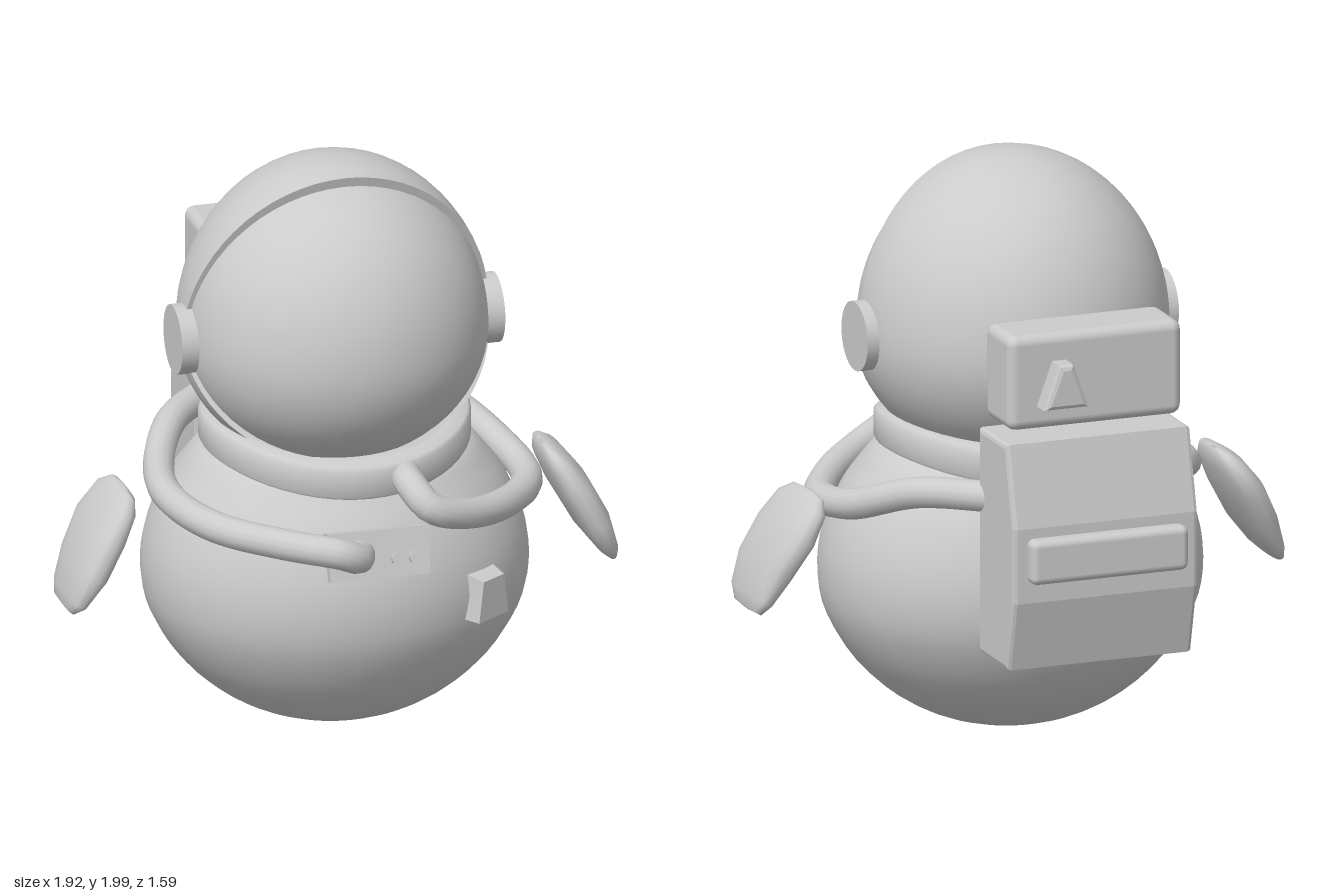
import * as THREE from 'three';
import { mergeVertices, toCreasedNormals } from 'three/addons/utils/BufferGeometryUtils.js';
import { RoundedBoxGeometry } from 'three/addons/geometries/RoundedBoxGeometry.js';

const mat = new THREE.MeshStandardMaterial({ color: 0xcccccc, roughness: 0.7 });
const thin = mat.clone();
thin.side = THREE.DoubleSide;
const CZ = 0.12; // depth of the body axis
const rad = THREE.MathUtils.degToRad;
const v3 = (a) => new THREE.Vector3(...a);

// Smooth surface from a rule f(u, v) -> [x, y, z]
function surface(f, nu, nv) {
  const geo = new THREE.PlaneGeometry(1, 1, nu, nv);
  const pos = geo.attributes.position, uv = geo.attributes.uv;
  for (let i = 0; i < pos.count; i++) pos.setXYZ(i, ...f(uv.getX(i), uv.getY(i)));
  geo.deleteAttribute('uv');
  geo.deleteAttribute('normal');
  const merged = mergeVertices(geo, 1e-5);
  merged.computeVertexNormals();
  return merged;
}

// Egg-like head surface with poles at the ears; phi runs from the top to the front
function headPoint(theta, phi, rx, up, down, rz) {
  const y = Math.sin(theta) * Math.cos(phi);
  return [rx * Math.cos(theta), 1.4 + y * (y > 0 ? up : down), CZ + rz * Math.sin(theta) * Math.sin(phi)];
}

// Extruded outline with a small bevel, centred on its depth
function slab(points, depth, bevel) {
  const shape = new THREE.Shape(points.map(([x, y]) => new THREE.Vector2(x, y)));
  const geo = new THREE.ExtrudeGeometry(shape, {
    depth: depth - 2 * bevel, bevelEnabled: true, bevelSize: bevel, bevelThickness: bevel,
    bevelOffset: -bevel, bevelSegments: 2,
  });
  return geo.translate(0, 0, -depth / 2 + bevel);
}

export function createModel() {
  const model = new THREE.Group();
  const add = (name, geo, x = 0, y = 0, z = 0, m = mat) => {
    const mesh = new THREE.Mesh(geo, m);
    mesh.name = name;
    mesh.position.set(x, y, z);
    model.add(mesh);
    return mesh;
  };

  // Round body, a little shallower than wide
  const bodyCurve = new THREE.SplineCurve([
    [0, 0.005], [0.2, 0.03], [0.38, 0.11], [0.53, 0.24], [0.63, 0.4], [0.66, 0.54], [0.645, 0.68],
    [0.59, 0.82], [0.52, 0.92], [0.45, 0.99], [0.3, 1.03], [0, 1.04],
  ].map(([r, y]) => new THREE.Vector2(r, y)));
  const profile = bodyCurve.getPoints(36).map((p) => p.set(Math.max(p.x, 0), p.y));
  add('body', new THREE.LatheGeometry(profile, 48).scale(1, 1, 0.895), 0, 0, CZ);

  // Neck ring that dips at the front and back
  let collar = new THREE.LatheGeometry([
    [0.4, -0.11], [0.455, -0.11], [0.46, -0.1], [0.46, -0.01], [0.45, 0], [0.4, 0], [0.4, -0.11],
  ].map(([r, y]) => new THREE.Vector2(r, y)), 48);
  const cp = collar.attributes.position;
  for (let i = 0; i < cp.count; i++) cp.setY(i, cp.getY(i) + 1.11 - 0.065 * (cp.getZ(i) / 0.46) ** 2);
  add('collar', toCreasedNormals(collar, 0.8), 0, 0, CZ, thin);

  // Visor ball, helmet shell behind it and the step between them
  add('visor', surface((u, v) => headPoint(Math.PI * v, 2 * Math.PI * u, 0.52, 0.565, 0.455, 0.51), 48, 32),
    0, 0, 0, thin);
  const top = rad(375), bottom = rad(150);
  const shell = [0.535, 0.6, 0.475, 0.55];
  add('helmetShell', surface((u, v) => headPoint(Math.PI * v, bottom + (top - bottom) * u, ...shell), 36, 32),
    0, 0, 0, thin);
  for (const edge of [top, bottom]) {
    add('helmetRim', surface((u, v) => headPoint(Math.PI * v, edge,
      ...shell.map((r) => r * (1 - 0.09 * u))), 1, 32), 0, 0, 0, thin);
  }

  for (const side of [1, -1]) {
    // Ear discs
    const disc = new THREE.CylinderGeometry(0.12, 0.12, 0.065, 32).rotateZ(Math.PI / 2);
    add(side > 0 ? 'leftEarDisc' : 'rightEarDisc', disc, side * 0.532, 1.4, CZ);

    // Flat flipper arms: x, y, half thickness, centre z, half width
    const rows = [
      [0.73, 0.885, 0.001, 0.1, 0.02], [0.735, 0.878, 0.022, 0.11, 0.12], [0.76, 0.84, 0.045, 0.11, 0.175],
      [0.815, 0.75, 0.06, 0.115, 0.2], [0.88, 0.63, 0.058, 0.14, 0.185], [0.93, 0.53, 0.035, 0.14, 0.155],
      [0.948, 0.49, 0.016, 0.13, 0.11], [0.95, 0.485, 0.001, 0.13, 0.02],
    ];
    const power = (c) => Math.sign(c) * Math.abs(c) ** 0.75;
    const arm = surface((u, v) => {
      const [x, y, t, z, w] = rows[Math.round(v * (rows.length - 1))];
      const a = 2 * Math.PI * u, d = t * power(Math.cos(a));
      return [side * (x + 0.87 * d), y + 0.49 * d, z + w * power(Math.sin(a))];
    }, 16, rows.length - 1);
    add(side > 0 ? 'leftArm' : 'rightArm', arm, 0, 0, 0, thin);
  }

  // Backpack: lower pack drawn from the side, upper box and details
  const pack = slab([
    [0.43, 0.415], [0.69, 0.415], [0.75, 0.66], [0.75, 0.92], [0.68, 1.2], [0.43, 1.2],
  ], 0.67, 0.015).rotateY(Math.PI / 2);
  add('backpack', pack);
  add('backpackTopBox', new RoundedBoxGeometry(0.63, 0.33, 0.225, 3, 0.035), 0, 1.402, -0.548);
  add('backpackStrip', new RoundedBoxGeometry(0.57, 0.155, 0.08, 3, 0.025), 0, 0.808, -0.76);
  add('triangleKnob', slab([[-0.08, -0.078], [0.08, -0.078], [0.025, 0.075], [-0.025, 0.075]], 0.1, 0.018),
    0.135, 1.398, -0.69);

  // Chest panel with two buttons
  const panel = new THREE.Group();
  panel.name = 'chestPanel';
  panel.position.set(0, 0.77, 0.655);
  panel.rotation.x = -0.26;
  panel.add(new THREE.Mesh(new THREE.BoxGeometry(0.35, 0.165, 0.06), mat));
  panel.children[0].name = 'panelBox';
  for (const x of [0.06, 0.122]) {
    const button = new THREE.Mesh(new THREE.CylinderGeometry(0.02, 0.02, 0.03, 16).rotateX(Math.PI / 2), mat);
    button.name = 'panelButton';
    button.position.set(x, -0.02, 0.035);
    panel.add(button);
  }
  model.add(panel);

  // Tapered pouch on the belly
  const pouch = new THREE.BoxGeometry(0.16, 0.175, 0.12);
  const pp = pouch.attributes.position;
  for (let i = 0; i < pp.count; i++) {
    if (pp.getZ(i) > 0) pp.setX(i, pp.getX(i) * (pp.getY(i) > 0 ? 0.65 : 0.95));
    if (pp.getZ(i) > 0 && pp.getY(i) > 0) pp.setY(i, 0.055);
  }
  pouch.computeVertexNormals();
  add('pouch', pouch, 0.38, 0.575, 0.59).rotation.y = 0.6;

  // Hoses from the chest round to the backpack
  const hoses = {
    rightHose: [[-0.06, 0.775, 0.66], [-0.085, 0.785, 0.72], [-0.15, 0.815, 0.74], [-0.33, 0.83, 0.63],
      [-0.51, 0.845, 0.46], [-0.6, 0.865, 0.2], [-0.57, 0.89, -0.04], [-0.46, 0.95, -0.27], [-0.27, 0.96, -0.47]],
    leftHose: [[0.13, 1.0, 0.53], [0.13, 0.99, 0.62], [0.18, 0.93, 0.69], [0.32, 0.875, 0.64],
      [0.51, 0.835, 0.47], [0.64, 0.82, 0.24], [0.62, 0.85, 0], [0.48, 0.94, -0.25], [0.28, 0.96, -0.47]],
  };
  for (const [name, points] of Object.entries(hoses)) {
    const path = new THREE.CatmullRomCurve3(points.map(v3));
    add(name, new THREE.TubeGeometry(path, 64, 0.053, 14), 0, 0, 0, thin);
    add(name + 'End', new THREE.SphereGeometry(0.053, 14, 10), ...points[0]);
  }

  return model;
}
